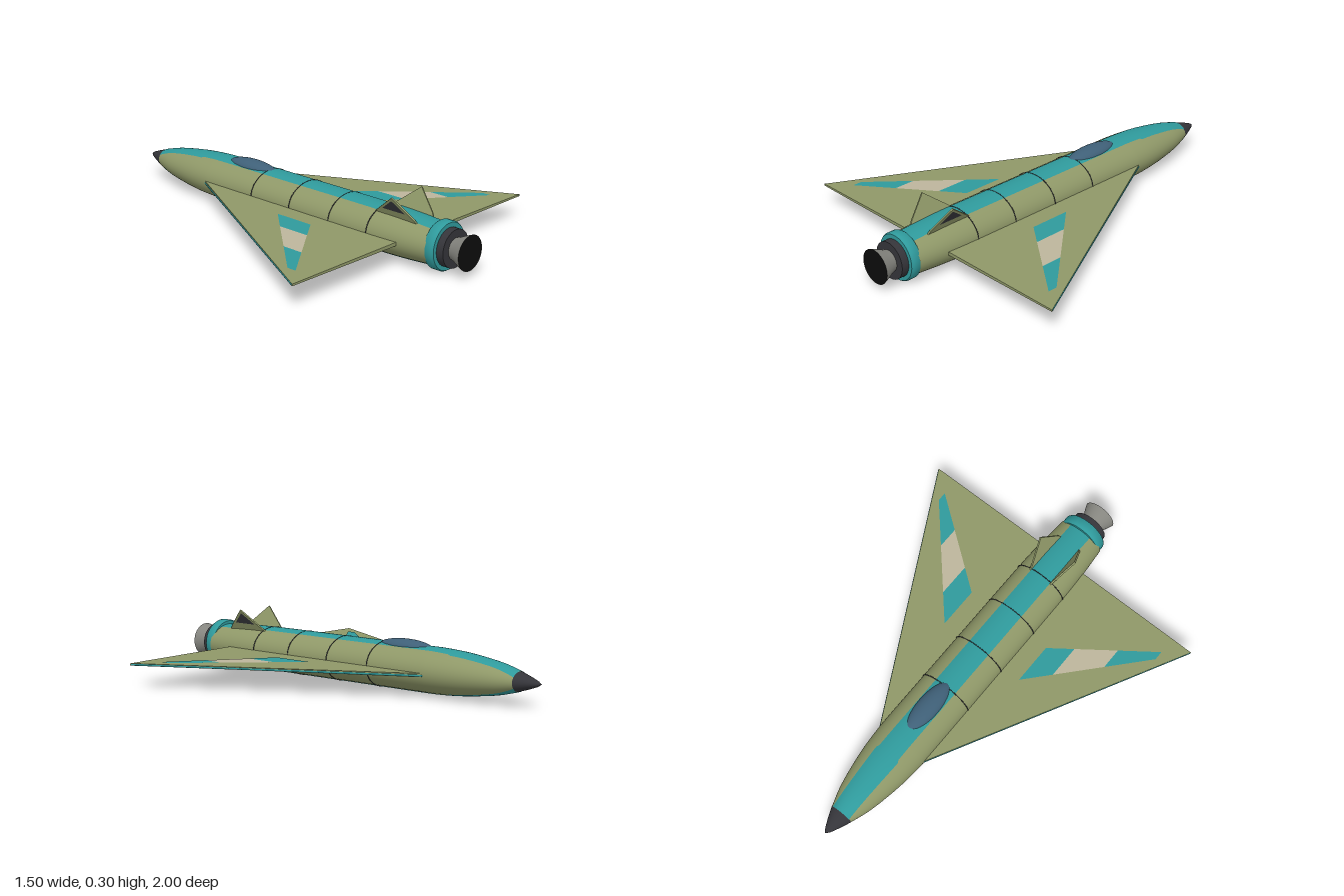
import * as THREE from 'three';
import { toCreasedNormals } from 'three/addons/utils/BufferGeometryUtils.js';

const V2 = (x, y) => new THREE.Vector2(x, y);
const mat = (color, side = THREE.FrontSide) => new THREE.MeshStandardMaterial({ color, side });
const olive = mat(0x8f9868);
const teal = mat(0x2f9a9c, THREE.DoubleSide);
const cream = mat(0xbdb59c, THREE.DoubleSide);
const dark = mat(0x35353a, THREE.DoubleSide);
const metal = mat(0x85857f, THREE.DoubleSide);
const black = mat(0x0c0c0c, THREE.DoubleSide);
const glass = mat(0x3f6078);

const AXIS = 0.11;   // height of the fuselage axis
const FLAT = 0.77;   // height to width of the fuselage section

function add(parent, name, geometry, material, x = 0, y = 0, z = 0) {
  const mesh = new THREE.Mesh(geometry, material);
  mesh.name = name;
  mesh.position.set(x, y, z);
  parent.add(mesh);
  return mesh;
}

// Turned part along z from [radius, z] pairs, optionally flattened in y
function turned(points, flat = 1, crease = 0) {
  const g = new THREE.LatheGeometry(points.map(p => (p.isVector2 ? p : V2(...p))), 48);
  g.rotateX(Math.PI / 2).scale(1, flat, 1);
  return crease ? toCreasedNormals(g, crease) : g;
}

const shapeOf = pts => new THREE.Shape(pts.map(p => V2(...p)));

// Fuselage half width along its length
const profile = new THREE.SplineCurve([
  V2(0.055, -0.89), V2(0.085, -0.8), V2(0.106, -0.7), V2(0.121, -0.6), V2(0.129, -0.5), V2(0.131, -0.4),
  V2(0.131, 0), V2(0.131, 0.5), V2(0.127, 0.68), V2(0.115, 0.85)]).getPoints(60);

// Stripe that hugs the fuselage along its spine
function spineStripe() {
  const n = profile.length - 1, across = 10;
  const g = new THREE.PlaneGeometry(1, 1, across, n);
  const pos = g.attributes.position;
  for (let i = 0; i < pos.count; i++) {
    const { x: r, y: z } = profile[Math.floor(i / (across + 1))];
    const half = z < -0.57 ? THREE.MathUtils.mapLinear(z, -0.89, -0.57, 0.047, 0.062) : 0.055;
    const x = pos.getX(i) * 2 * half;
    pos.setXYZ(i, x, FLAT * Math.sqrt(r * r - x * x) + 0.002, z);
  }
  g.computeVertexNormals();
  return g;
}

// Wing thickness thins toward the tip
const halfThickness = x => 0.009 - 0.006 * x;

function wingPlate() {
  const outline = shapeOf([[0.05, -0.6], [0.12, -0.49], [0.752, 0.705], [0.05, 0.705]]);
  const g = new THREE.ExtrudeGeometry(outline, { depth: 2, bevelEnabled: false });
  g.translate(0, 0, -1).rotateX(Math.PI / 2);
  const pos = g.attributes.position;
  for (let i = 0; i < pos.count; i++) pos.setY(i, pos.getY(i) * halfThickness(pos.getX(i)));
  g.computeVertexNormals();
  return g;
}

// Painted patch between two spans, on the upper (1) or lower (-1) face
function wingPatch(x0, x1, face) {
  const front = x => THREE.MathUtils.mapLinear(x, 0.22, 0.645, 0.1, 0.575);
  const rear = x => THREE.MathUtils.mapLinear(x, 0.22, 0.645, 0.3, 0.62);
  const g = new THREE.ShapeGeometry(shapeOf([[x0, front(x0)], [x1, front(x1)], [x1, rear(x1)], [x0, rear(x0)]]));
  g.rotateX(Math.PI / 2);
  const pos = g.attributes.position;
  for (let i = 0; i < pos.count; i++) pos.setY(i, face * (halfThickness(pos.getX(i)) + 0.0015));
  g.computeVertexNormals();
  return g;
}

function buildSide(name) {
  const side = new THREE.Group();
  side.name = name;

  // Delta wing, leading edge strip and painted bands
  const wing = new THREE.Group();
  wing.name = 'wing';
  wing.position.y = 0.107;
  side.add(wing);
  add(wing, 'wingPlate', wingPlate(), olive);
  const edge = new THREE.LineCurve3(new THREE.Vector3(0.12, -0.002, -0.485), new THREE.Vector3(0.748, -0.001, 0.703));
  add(wing, 'leadingEdge', new THREE.TubeGeometry(edge, 1, 0.005, 8), teal);
  add(wing, 'innerBand', wingPatch(0.22, 0.325, 1), teal);
  add(wing, 'middleBand', wingPatch(0.325, 0.485, 1), cream);
  add(wing, 'outerBand', wingPatch(0.485, 0.645, 1), teal);
  add(wing, 'undersideBand', wingPatch(0.22, 0.645, -1), teal);

  // Canted tail fin with a dark panel on its outer face
  const fin = new THREE.Group();
  fin.name = 'tailFin';
  fin.position.set(0.054, 0.19, 0);
  fin.rotation.z = -0.42;
  side.add(fin);
  const finShape = shapeOf([[0.52, 0], [0.76, 0], [0.75, 0.02], [0.655, 0.115]]);
  const finPlate = new THREE.ExtrudeGeometry(finShape, { depth: 0.008, bevelEnabled: false });
  add(fin, 'finPlate', finPlate.translate(0, 0, -0.004).rotateY(-Math.PI / 2), olive);
  const panel = new THREE.ShapeGeometry(shapeOf([[0.585, 0.043], [0.71, 0.043], [0.652, 0.1]]));
  add(fin, 'finPanel', panel.rotateY(-Math.PI / 2), dark, 0.0055);
  return side;
}

export function createModel() {
  const model = new THREE.Group();
  model.name = 'deltaWingJet';

  // Fuselage, nose cone and stripes
  add(model, 'fuselage', turned(profile, FLAT), olive, 0, AXIS);
  add(model, 'noseCone', turned([[0, -1], [0.016, -0.98], [0.035, -0.94], [0.056, -0.889]], FLAT), dark, 0, AXIS);
  add(model, 'topStripe', spineStripe(), teal, 0, AXIS);
  add(model, 'bellyStripe', spineStripe(), teal, 0, AXIS).rotation.z = Math.PI;

  // Panel seams
  for (const z of [-0.16, 0.08, 0.32, 0.54]) {
    const seam = new THREE.TorusGeometry(0.132, 0.002, 6, 64).scale(1, FLAT + 0.01, 1);
    add(model, 'panelSeam', seam, dark, 0, AXIS, z);
  }

  // Canopy
  add(model, 'canopy', new THREE.SphereGeometry(1, 32, 20).scale(0.052, 0.034, 0.145), glass, 0, 0.2, -0.28);

  // Tail collar, engine ring and nozzle
  add(model, 'tailCollar', turned([[0.08, 0.838], [0.105, 0.838], [0.11, 0.846], [0.11, 0.882], [0.105, 0.89], [0, 0.89]], 1, 0.9), teal, 0, 0.111);
  add(model, 'engineRing', turned([[0.086, 0.88], [0.086, 0.925], [0, 0.925]], 1, 0.6), dark, 0, AXIS);
  add(model, 'nozzle', turned([[0.048, 0.92], [0.056, 0.945], [0.068, 0.97], [0.08, 1]]), metal, 0, AXIS);
  add(model, 'exhaust', new THREE.CircleGeometry(0.079, 48), black, 0, AXIS, 0.998);

  // Wings and fins, mirrored
  model.add(buildSide('leftSide'));
  const right = buildSide('rightSide');
  right.scale.x = -1;
  model.add(right);
  return model;
}
